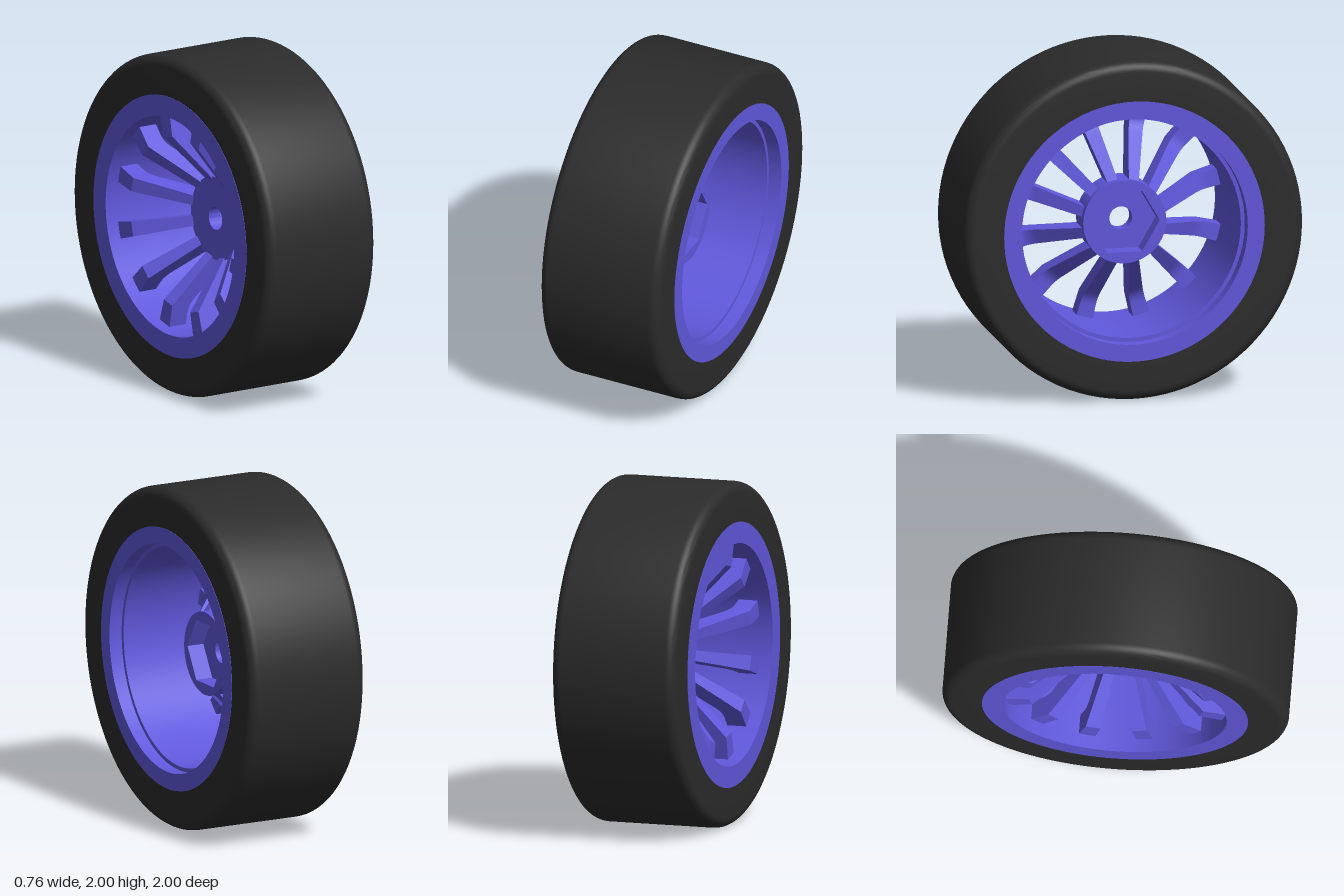
import * as THREE from 'three';
import { toCreasedNormals } from 'three/addons/utils/BufferGeometryUtils.js';

const rubber = new THREE.MeshStandardMaterial({ color: 0x2b2b2b });
const paint = new THREE.MeshStandardMaterial({ color: 0x6058dc });

function part(name, geometry, material) {
  const mesh = new THREE.Mesh(toCreasedNormals(geometry, 0.6), material);
  mesh.name = name;
  return mesh;
}

// Closed ring around the x axis from [radius, x] points
function ring(name, points, material) {
  const profile = points.map(([r, x]) => new THREE.Vector2(r, x));
  profile.push(profile[0].clone());
  return part(name, new THREE.LatheGeometry(profile, 96).rotateZ(-Math.PI / 2), material);
}

// Disc with a hole, running along x from x0 to x1
function holedDisc(name, radius, hole, x0, x1) {
  const shape = new THREE.Shape().absarc(0, 0, radius, 0, Math.PI * 2);
  shape.holes.push(hole);
  const geo = new THREE.ExtrudeGeometry(shape, { depth: x1 - x0, bevelEnabled: false, curveSegments: 48 });
  return part(name, geo.rotateY(Math.PI / 2).translate(x0, 0, 0), paint);
}

// Dished spoke: side profile in (x, radius), widening towards the rim
function spokeGeometry() {
  const s = new THREE.Shape();
  s.moveTo(0.1, 0.225);
  s.lineTo(-0.14, 0.475);
  s.quadraticCurveTo(-0.185, 0.52, -0.185, 0.57);
  s.lineTo(-0.185, 0.65);
  s.lineTo(-0.3, 0.65);
  s.lineTo(-0.3, 0.51);
  s.lineTo(-0.055, 0.225);
  s.closePath();
  const geo = new THREE.ExtrudeGeometry(s, { depth: 1, bevelEnabled: false, curveSegments: 6 });
  geo.translate(0, 0, -0.5);
  const p = geo.attributes.position;
  for (let i = 0; i < p.count; i++) {
    p.setZ(i, p.getZ(i) * (0.06 + 0.04 * (p.getY(i) - 0.225) / 0.425));
  }
  geo.computeVertexNormals();
  return geo;
}

export function createModel() {
  const wheel = new THREE.Group();
  wheel.name = 'wheel';
  const W = 0.378, R = 1, C = 0.06;

  // Tyre with rounded shoulders
  const tyre = [[0.76, -W]];
  for (const side of [-1, 1]) {
    for (let i = 0; i <= 8; i++) {
      const a = (side < 0 ? i - 8 : i) / 8 * Math.PI / 2;
      tyre.push([R - C + C * Math.cos(a), side * (W - C) + C * Math.sin(a)]);
    }
  }
  tyre.push([0.76, W]);
  wheel.add(ring('tyre', tyre, rubber));

  // Rim barrel with a stepped lip on one side
  const F = W + 0.002;
  wheel.add(ring('rim', [
    [0.645, -F], [0.768, -F], [0.768, F], [0.668, F], [0.668, 0.3], [0.645, 0.3],
  ], paint));

  // Hub: hexagonal socket over a bored back plate
  const hex = new THREE.Path();
  for (let i = 0; i < 6; i++) {
    const a = i * Math.PI / 3;
    hex[i ? 'lineTo' : 'moveTo'](0.206 * Math.cos(a), 0.206 * Math.sin(a));
  }
  hex.closePath();
  const bore = new THREE.Path().absarc(0, 0, 0.067, 0, Math.PI * 2);
  wheel.add(holedDisc('hubSocket', 0.245, hex, 0.02, 0.125));
  wheel.add(holedDisc('hubPlate', 0.245, bore, -0.06, 0.02));

  // Twelve spokes
  const geo = spokeGeometry();
  for (let i = 0; i < 12; i++) {
    const spoke = part('spoke', geo, paint);
    spoke.rotation.x = (i + 0.5) * Math.PI / 6;
    wheel.add(spoke);
  }

  wheel.position.y = 1;
  const model = new THREE.Group();
  model.add(wheel);
  return model;
}
